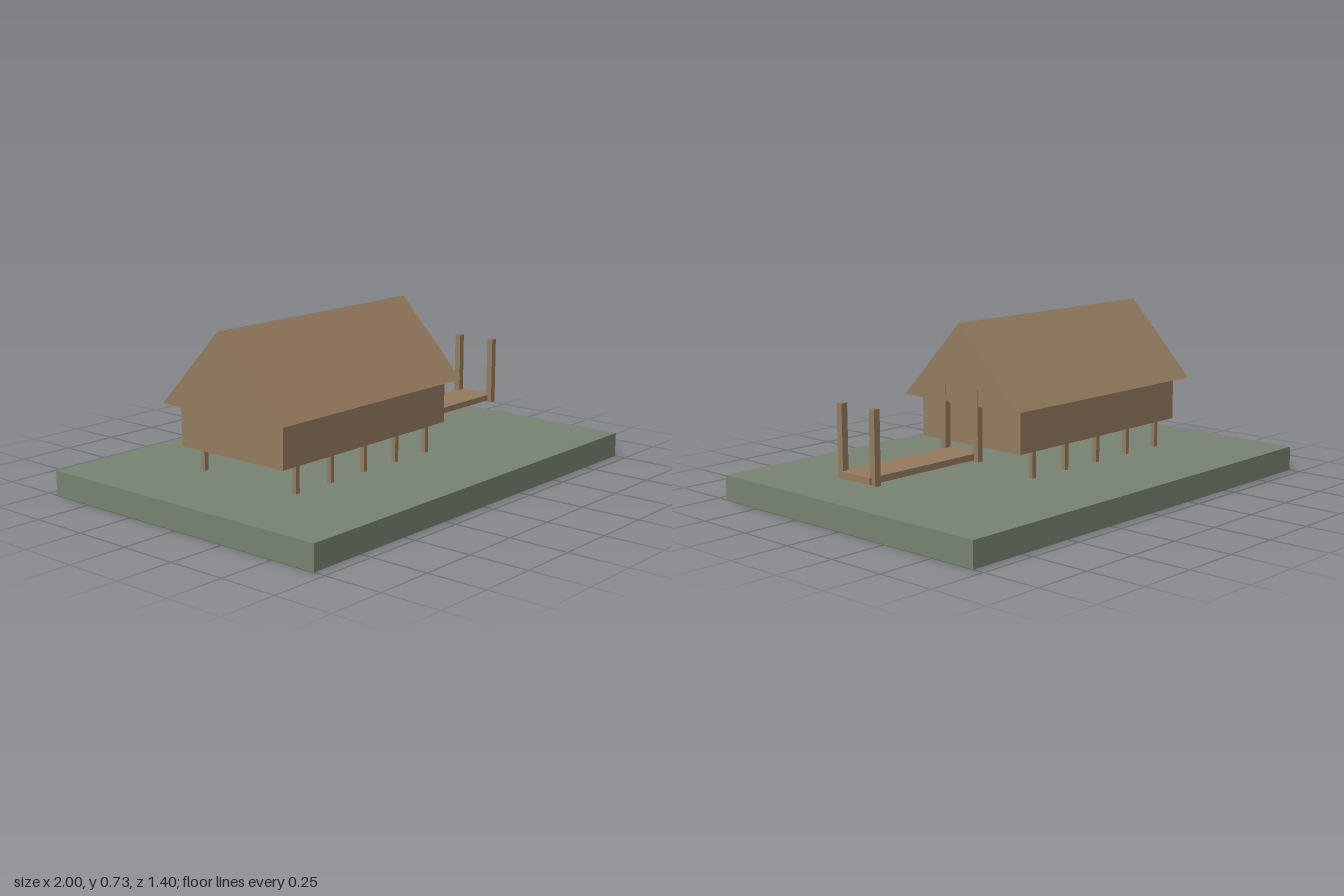
import * as THREE from 'three';

export function createModel() {
  const model = new THREE.Group();
  const wood = new THREE.MeshStandardMaterial({ color: 0x937a5e });
  wood.name = 'weathered wood';
  const grass = new THREE.MeshStandardMaterial({ color: 0x768271 });
  grass.name = 'mossy ground';

  // Box spanning min to max on each axis
  function box(name, material, [x0, x1], [y0, y1], [z0, z1], parent = model) {
    const mesh = new THREE.Mesh(new THREE.BoxGeometry(x1 - x0, y1 - y0, z1 - z0), material);
    mesh.position.set((x0 + x1) / 2, (y0 + y1) / 2, (z0 + z1) / 2);
    mesh.name = name;
    parent.add(mesh);
  }

  box('ground', grass, [-1, 1], [0, 0.105], [-0.7, 0.7]);
  box('houseBody', wood, [-0.7, 0.296], [0.22, 0.4], [-0.276, 0.276]);

  // Gabled roof: triangle extruded along x
  const gable = new THREE.Shape();
  gable.moveTo(-0.314, 0.4);
  gable.lineTo(0.314, 0.4);
  gable.lineTo(0, 0.726);
  gable.closePath();
  const roofGeometry = new THREE.ExtrudeGeometry(gable, { depth: 1.12, bevelEnabled: false });
  roofGeometry.rotateY(Math.PI / 2);
  const roof = new THREE.Mesh(roofGeometry, wood);
  roof.position.x = -0.76;
  roof.name = 'roof';
  model.add(roof);

  // Two rows of stilts under the house
  const stilts = new THREE.Group();
  stilts.name = 'stilts';
  model.add(stilts);
  for (const z of [-0.25, 0.25]) {
    for (let i = 0; i < 5; i++) {
      const x = -0.602 + i * 0.2;
      box('stilt', wood, [x - 0.01, x + 0.01], [0.105, 0.22], [z - 0.01, z + 0.01], stilts);
    }
  }

  // Walkway with a post at each corner
  const walkway = new THREE.Group();
  walkway.name = 'walkway';
  model.add(walkway);
  box('deck', wood, [0.325, 0.92], [0.18, 0.206], [-0.084, 0.084], walkway);
  for (const x of [0.348, 0.897]) {
    for (const z of [-0.091, 0.091]) {
      box('walkwayPost', wood, [x - 0.014, x + 0.014], [0.174, 0.468], [z - 0.014, z + 0.014], walkway);
    }
  }
  return model;
}
